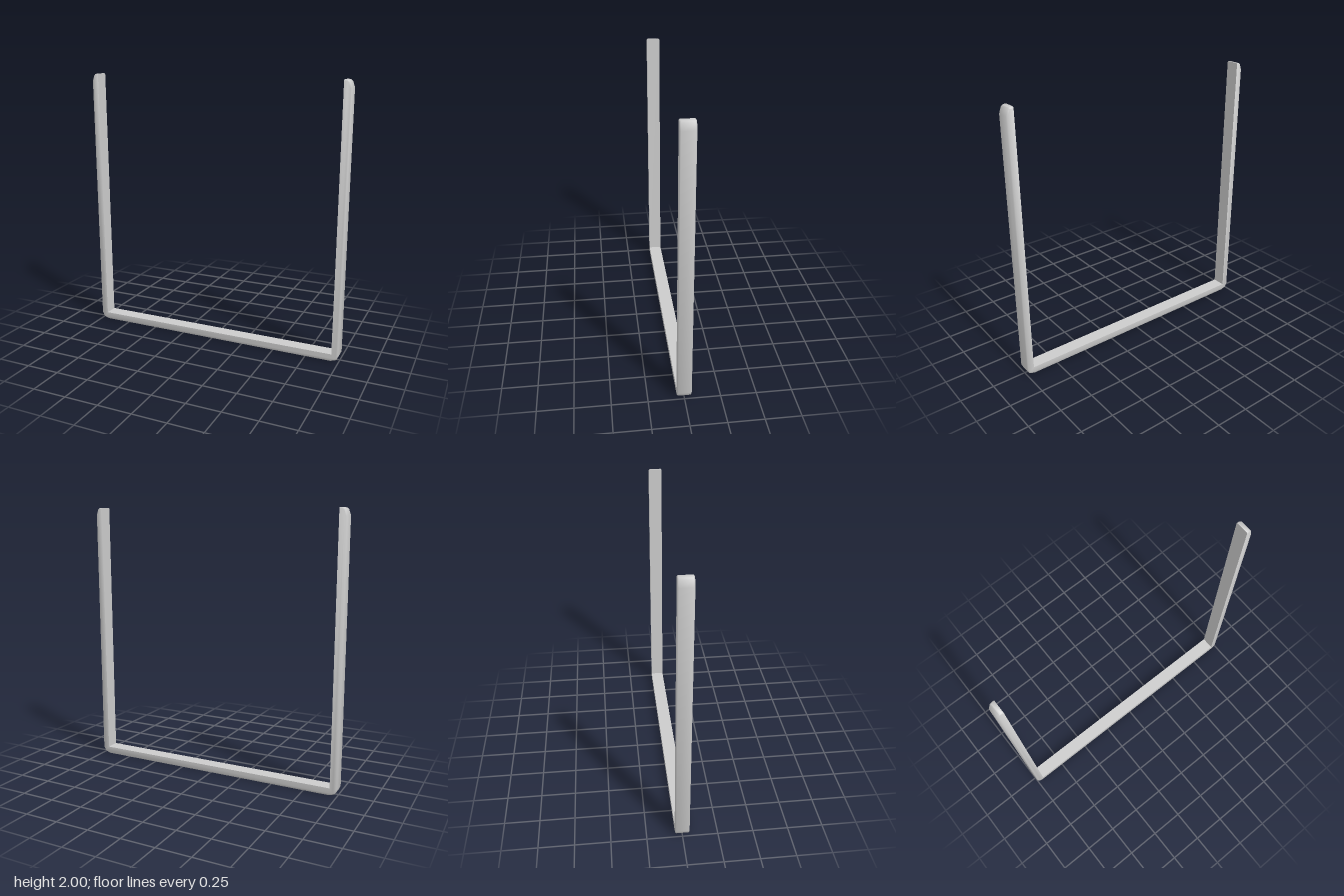
import * as THREE from 'three';
import { toCreasedNormals } from 'three/addons/utils/BufferGeometryUtils.js';

const INNER_X = 0.947, INNER_Y = 0.055, DEPTH = 0.1, BEVEL = 0.007;

export function createModel() {
  const group = new THREE.Group();
  group.name = 'uFrame';

  // Outer edge of the right half, from the top of the post to the base bar
  const outer = [[0.96, 2], [0.975, 1.996], [0.986, 1.985], [1, 1.945],
    [1, 0.05], [0.986, 0.019], [0.975, 0.011], [0.94, 0]];
  const mirrored = outer.map(([x, y]) => [-x, y]).reverse();
  const outline = [...outer, ...mirrored,
    [-INNER_X, 2], [-INNER_X, INNER_Y], [INNER_X, INNER_Y], [INNER_X, 2]];
  const shape = new THREE.Shape(outline.map(([x, y]) => new THREE.Vector2(x, y)));

  const geometry = new THREE.ExtrudeGeometry(shape, {
    depth: DEPTH - 2 * BEVEL, bevelThickness: BEVEL, bevelSize: BEVEL,
    bevelOffset: -BEVEL, bevelSegments: 1,
  });
  geometry.translate(0, 0, BEVEL - DEPTH / 2);

  // Only the outside edges are softened: square the inner edges again
  const p = geometry.attributes.position;
  for (let i = 0; i < p.count; i++) {
    const x = p.getX(i), y = p.getY(i);
    if (Math.abs(x) > INNER_X + BEVEL + 0.001 || y < INNER_Y - BEVEL - 0.001) continue;
    p.setX(i, Math.sign(x) * INNER_X);
    if (y < 0.1) p.setY(i, INNER_Y);
  }

  const frame = new THREE.Mesh(toCreasedNormals(geometry, 0.9),
    new THREE.MeshStandardMaterial({ color: 0xcccccc }));
  frame.name = 'frame';
  group.add(frame);
  return group;
}
